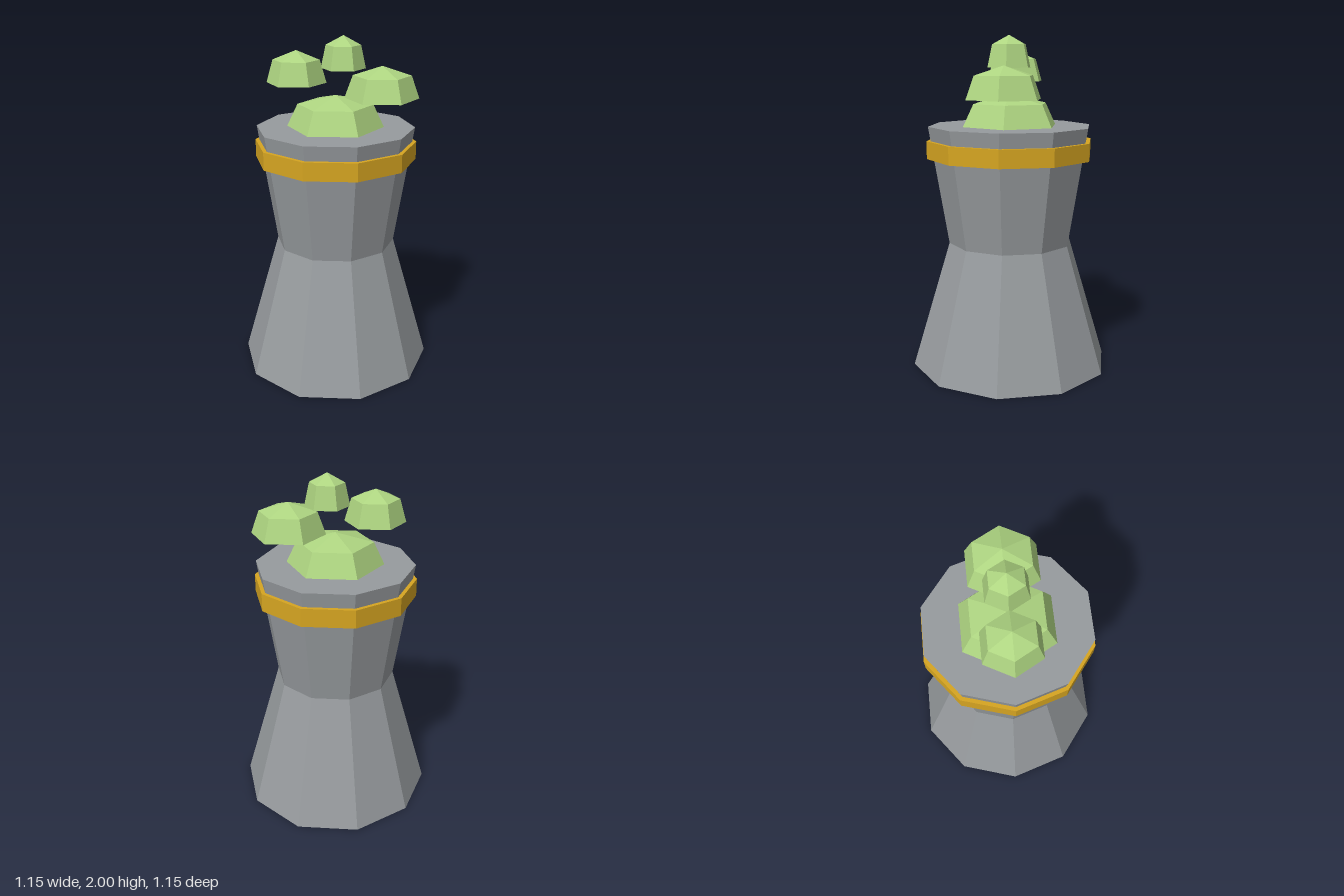
import * as THREE from 'three';

const Z_STRETCH = 1.051; // every ring is slightly deeper than it is wide

export function createModel() {
  const mat = (name, color) => {
    const m = new THREE.MeshStandardMaterial({ color, flatShading: true });
    m.name = name;
    return m;
  };
  const stone = mat('stone grey', 0x979b9e);
  const gold = mat('gold', 0xd6a521);
  const leaf = mat('light green', 0xaed581);

  const model = new THREE.Group();
  model.name = 'chimney';

  // Tapered faceted section between two heights, with a corner on the x axis
  const section = (parent, name, material, sides, rBottom, rTop, y0, y1, open = false) => {
    const geo = new THREE.CylinderGeometry(rTop, rBottom, y1 - y0, sides, 1, open, Math.PI / 2);
    geo.scale(1, 1, Z_STRETCH);
    geo.translate(0, (y0 + y1) / 2, 0);
    const mesh = new THREE.Mesh(geo, material);
    mesh.name = name;
    parent.add(mesh);
    return mesh;
  };

  // Waisted tower and its band
  section(model, 'towerBase', stone, 10, 0.577, 0.356, 0, 0.77);
  section(model, 'towerNeck', stone, 10, 0.356, 0.466, 0.77, 1.475);
  section(model, 'goldBand', gold, 10, 0.476, 0.476, 1.285, 1.39);

  // Six-sided puffs: a sloped skirt with a shallow pointed cap
  const puffs = [
    ['puffCentre', 0, 1.475, 0.284],
    ['puffRight', 0.268, 1.645, 0.216],
    ['puffLeft', -0.225, 1.73, 0.174],
    ['puffTop', 0.045, 1.815, 0.129],
  ];
  for (const [name, x, y, r] of puffs) {
    const puff = new THREE.Group();
    puff.name = name;
    section(puff, 'skirt', leaf, 6, r, r * 0.78, 0, 0.131);
    section(puff, 'cap', leaf, 6, r * 0.78, 0, 0.131, 0.185, true);
    puff.position.set(x, y, 0);
    model.add(puff);
  }

  return model;
}
